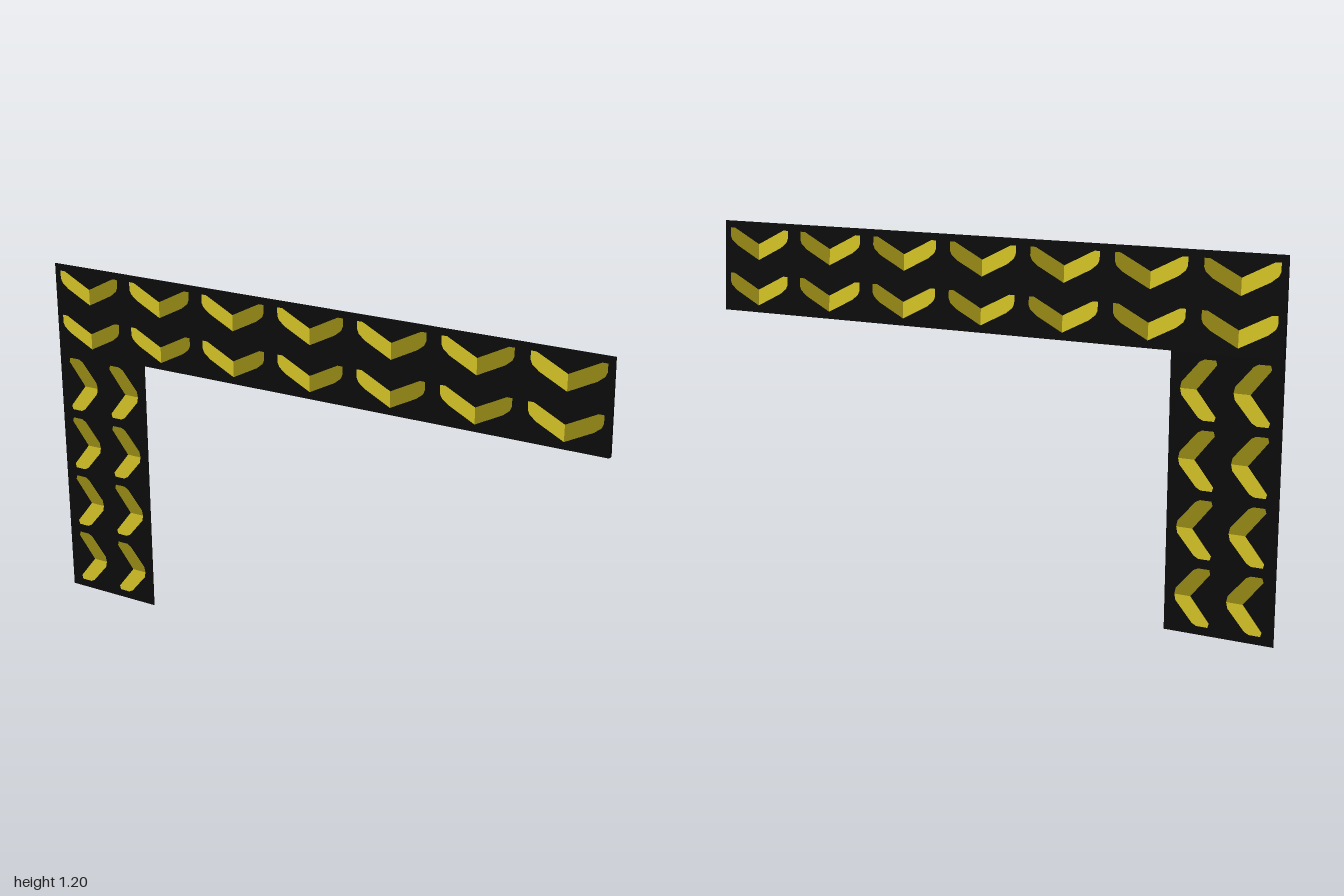
import * as THREE from 'three';
import { mergeGeometries } from 'three/addons/utils/BufferGeometryUtils.js';

const FRONT = 0.0095, BOTTOM = 0.893, TOP = 1.2, LIFT = 0.0015;

// Sloping back face of the beam
const beamBack = (y) => -0.0095 + ((y - BOTTOM) / (TOP - BOTTOM)) * 0.018;

// One arm of a downward chevron with its point at the origin; side is -1 or +1
const beamArm = [[0, 0], [0.09, 0.046], [0.112, 0.064], [0.118, 0.078], [0.118, 0.105], [0.1, 0.105], [0, 0.054]];
// One arm of a chevron pointing along +x; side is -1 (lower) or +1 (upper)
const legArm = [[0, 0], [-0.004, 0.02], [-0.06, 0.086], [-0.075, 0.094], [-0.112, 0.094], [-0.116, 0.08], [-0.053, 0]];

// Flat painted face laid on the surface z = depth(y)
function paintedFace(points, depth, facesBack) {
  const g = new THREE.ShapeGeometry(new THREE.Shape(points.map(([x, y]) => new THREE.Vector2(x, y))));
  const p = g.attributes.position;
  for (let i = 0; i < p.count; i++) p.setZ(i, depth(p.getY(i)) + (facesBack ? -LIFT : LIFT));
  if (facesBack) g.index.array.reverse();
  g.computeVertexNormals();
  return g;
}

export function createModel() {
  const black = new THREE.MeshStandardMaterial({ color: 0x0b0b0b });
  black.name = 'black';
  black.side = THREE.DoubleSide;
  const bright = new THREE.MeshStandardMaterial({ color: 0xd0c024 });
  bright.name = 'bright yellow';
  const dark = new THREE.MeshStandardMaterial({ color: 0x938614 });
  dark.name = 'dark yellow';

  const model = new THREE.Group();
  model.name = 'signFrame';
  const add = (name, geometry, material) => {
    const mesh = new THREE.Mesh(geometry, material);
    mesh.name = name;
    model.add(mesh);
  };

  // Wedge-shaped beam, thickest along its lower edge
  const beam = new THREE.BoxGeometry(2, TOP - BOTTOM, 1);
  beam.translate(0, (TOP + BOTTOM) / 2, 0);
  const p = beam.attributes.position;
  for (let i = 0; i < p.count; i++) p.setZ(i, p.getZ(i) > 0 ? FRONT : beamBack(p.getY(i)));
  beam.computeVertexNormals();
  add('beam', beam, black);

  // Thin upright panel
  const leg = new THREE.PlaneGeometry(0.358, BOTTOM);
  leg.translate(-0.821, BOTTOM / 2, FRONT);
  add('leg', leg, black);

  // Chevrons on both faces, one colour per arm
  const flat = () => FRONT;
  for (const facesBack of [false, true]) {
    const where = facesBack ? 'Back' : 'Front';
    for (const side of [-1, 1]) {
      const tone = side < 0 ? bright : dark;
      const beamFaces = [], legFaces = [];
      for (let row = 0; row < 2; row++) {
        for (let i = -3; i <= 3; i++) {
          const pts = beamArm.map(([x, y]) => [i * 0.2865 + side * x, 1.072 - row * 0.155 + y]);
          beamFaces.push(paintedFace(pts, facesBack ? beamBack : flat, facesBack));
        }
      }
      for (let col = 0; col < 2; col++) {
        for (let i = 0; i < 4; i++) {
          const pts = legArm.map(([x, y]) => [-0.845 + col * 0.17 + x, 0.122 + i * 0.2185 + side * y]);
          legFaces.push(paintedFace(pts, flat, facesBack));
        }
      }
      const arm = side < 0 ? 'Bright' : 'Dark';
      add(`beamChevrons${where}${arm}`, mergeGeometries(beamFaces), tone);
      add(`legChevrons${where}${arm}`, mergeGeometries(legFaces), tone);
    }
  }
  return model;
}
